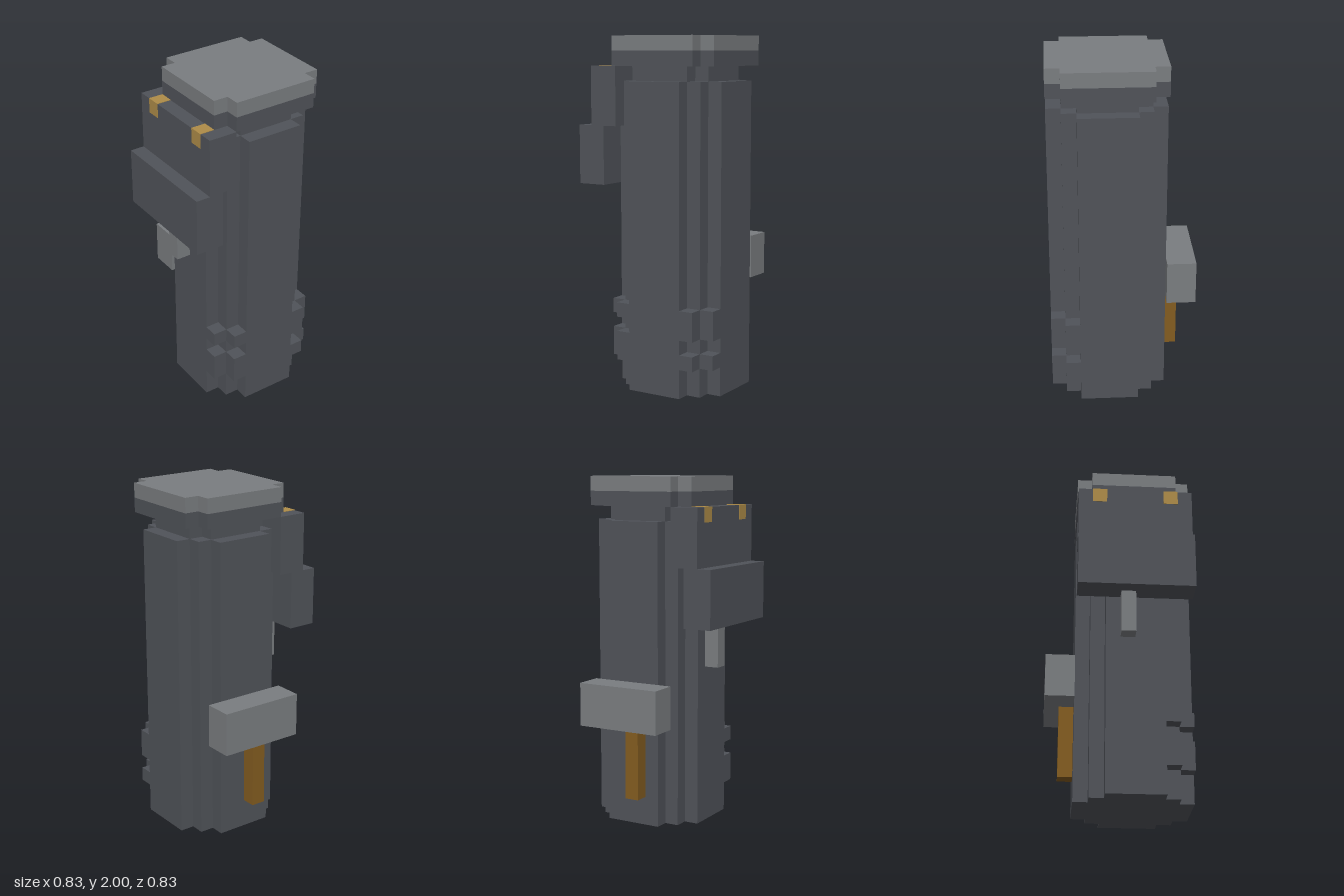
import * as THREE from 'three';

const U = 1 / 12; // grid unit of the blocky design

const mat = (name, color) => {
  const m = new THREE.MeshStandardMaterial({ color });
  m.name = name;
  return m;
};

export function createModel() {
  const dark = mat('dark grey metal', 0x505359);
  const light = mat('light grey metal', 0x7a7d80);
  const gold = mat('pale gold', 0xae8c48);
  const bronze = mat('bronze', 0x835c20);
  const model = new THREE.Group();
  model.name = 'model';

  const add = (name, geometry, material) => {
    const mesh = new THREE.Mesh(geometry, material);
    mesh.name = name;
    model.add(mesh);
    return mesh;
  };

  // Box given by its limits in grid units
  const box = (name, material, [x0, x1], [y0, y1], [z0, z1]) => {
    const g = new THREE.BoxGeometry((x1 - x0) * U, (y1 - y0) * U, (z1 - z0) * U);
    g.translate((x0 + x1) / 2 * U, (y0 + y1) / 2 * U, (z0 + z1) / 2 * U);
    return add(name, g, material);
  };

  // Upright prism with stepped corners: half width r, number of corner steps
  const prism = (name, material, r, steps, y0, y1) => {
    const quarter = [];
    for (let i = 0; i < steps; i++) {
      quarter.push([r - i, r - steps + i], [r - i - 1, r - steps + i]);
    }
    quarter.push([r - steps, r]);
    const points = [];
    for (let k = 0; k < 4; k++) {
      for (const [a, b] of quarter) {
        const [x, y] = [[a, b], [-b, a], [-a, -b], [b, -a]][k];
        points.push(new THREE.Vector2(x * U, y * U));
      }
    }
    const g = new THREE.ExtrudeGeometry(new THREE.Shape(points), { depth: (y1 - y0) * U, bevelEnabled: false });
    g.rotateX(-Math.PI / 2);
    g.translate(U, y0 * U, U); // column axis
    return add(name, g, material);
  };

  // Column, neck and two-tone cap
  prism('body', dark, 4, 2, 0, 21);
  prism('neck', dark, 3, 1, 21, 22);
  prism('capBase', dark, 4, 1, 22, 23);
  prism('capTop', light, 4, 1, 23, 24);

  // Ridges across the front corners near the foot
  for (const [y0, y1] of [[2, 4], [5, 6]]) {
    box('rightRidgeFront', dark, [-2, -1], [y0, y1], [4, 5]);
    box('rightRidgeSide', dark, [-3, -2], [y0, y1], [3, 4]);
  }
  for (const [y0, y1] of [[2, 3], [4, 6]]) {
    box('leftRidgeFront', dark, [3, 4], [y0, y1], [4, 5]);
    box('leftRidgeSide', dark, [4, 5], [y0, y1], [3, 4]);
  }

  // Side housing with gold catches and a small lever below
  box('housingUpper', dark, [-4, -2], [18, 22], [-3, 5]);
  box('housingLower', dark, [-5, -3], [14, 18], [-3, 5]);
  for (const z of [-2, 3]) {
    box('catch', gold, [-4.03, -3], [21, 22.03], [z, z + 1]);
  }
  box('lever', light, [-4, -3], [11, 14], [0, 1]);

  // Back block and the rod under it
  box('backBlock', light, [-2, 4], [7, 10], [-5, -3]);
  box('backRod', bronze, [0, 1], [2, 7], [-4, -3]);

  return model;
}
